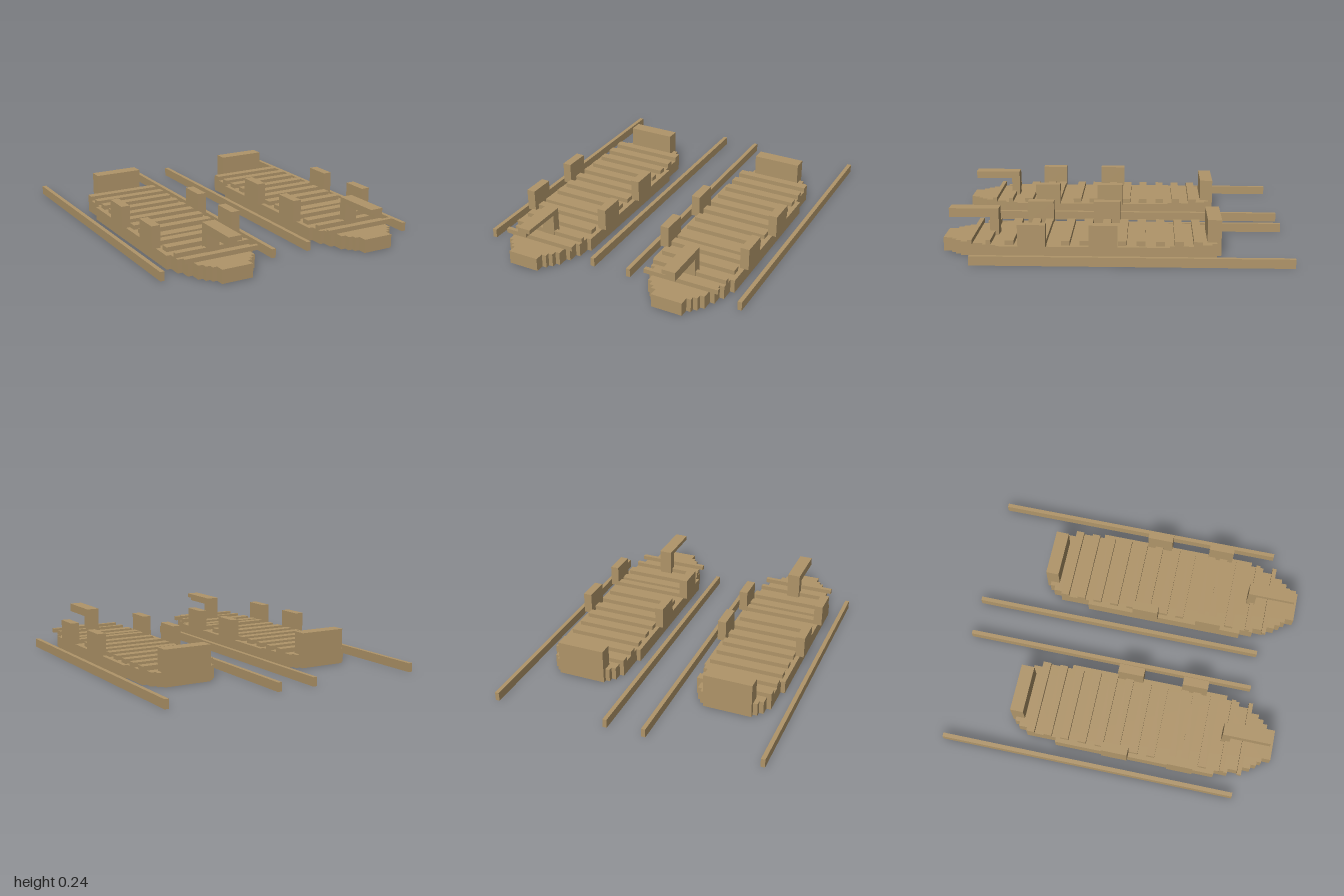
import * as THREE from 'three';

const wood = new THREE.MeshStandardMaterial({ color: 0xb09569 });
wood.name = 'wood';

// Box given by its limits on each axis
function block(name, x0, x1, y0, y1, z0, z1) {
  const geo = new THREE.BoxGeometry(x1 - x0, y1 - y0, z1 - z0);
  geo.translate((x0 + x1) / 2, (y0 + y1) / 2, (z0 + z1) / 2);
  const mesh = new THREE.Mesh(geo, wood);
  mesh.name = name;
  return mesh;
}

// Flat deck with a stepped outline: [half width, z start, z end]
function makeDeck() {
  const steps = [
    [0.147, -0.605, -0.58], [0.174, -0.58, -0.55], [0.201, -0.55, -0.495],
    [0.228, -0.495, -0.31], [0.254, -0.31, 0.675], [0.228, 0.675, 0.755],
    [0.201, 0.755, 0.82], [0.174, 0.82, 0.887], [0.147, 0.887, 0.92],
    [0.121, 0.92, 0.947], [0.094, 0.947, 1],
  ];
  const side = steps.flatMap(([w, a, b]) => [[w, a], [w, b]]);
  const outline = [...side, ...side.slice().reverse().map(([w, z]) => [-w, z])];
  const shape = new THREE.Shape(outline.map(([x, z]) => new THREE.Vector2(x, z)));
  const geo = new THREE.ExtrudeGeometry(shape, { depth: 0.08, bevelEnabled: false });
  geo.rotateX(Math.PI / 2).translate(0, 0.08, 0);
  const deck = new THREE.Mesh(geo, wood);
  deck.name = 'deck';
  return deck;
}

// One complete sled; out is the sign of its outer side
function makeSled(out) {
  const sled = new THREE.Group();
  sled.name = out > 0 ? 'leftSled' : 'rightSled';
  sled.add(makeDeck());

  // Cross slats: [z start, z end]
  const slats = [
    [-0.495, -0.445], [-0.387, -0.337], [-0.282, -0.232], [-0.172, -0.122],
    [-0.066, -0.016], [0.036, 0.086], [0.145, 0.2], [0.255, 0.305],
    [0.39, 0.435], [0.463, 0.513], [0.573, 0.625], [0.705, 0.732], [0.812, 0.838],
  ];
  for (const [a, b] of slats) sled.add(block('slat', -0.228, 0.228, 0.08, 0.107, a, b));

  // Upright blocks along both edges
  for (const s of [-1, 1]) {
    for (const [a, b] of [[-0.015, 0.145], [0.388, 0.545]]) {
      const x = s * 0.2525;
      sled.add(block('sideBlock', x - 0.0265, x + 0.0265, 0.08, 0.213, a, b));
    }
  }

  // Upright board at the back
  sled.add(block('backBoard', -0.147, 0.147, 0.08, 0.213, -0.605, -0.525));

  // Forward arm on a post, with a thicker outer half
  const inner = -0.014 * out, outer = 0.04 * out;
  sled.add(block('armPost', -0.04, 0.04, 0.08, 0.213, 0.683, 0.735));
  sled.add(block('arm', -0.04, 0.04, 0.213, 0.24, 0.683, 0.973));
  sled.add(block('armUnderside', Math.min(inner, outer), Math.max(inner, outer),
    0.188, 0.213, 0.735, 0.973));

  sled.position.x = out * 0.465;
  return sled;
}

export function createModel() {
  const model = new THREE.Group();
  for (const s of [-1, 1]) {
    model.add(makeSled(s));
    // Long rails on either side of each sled
    for (const x of [0.118, 0.811]) {
      model.add(block('rail', s * x - 0.0125, s * x + 0.0125, 0, 0.053, -1, 0.81));
    }
  }
  return model;
}
